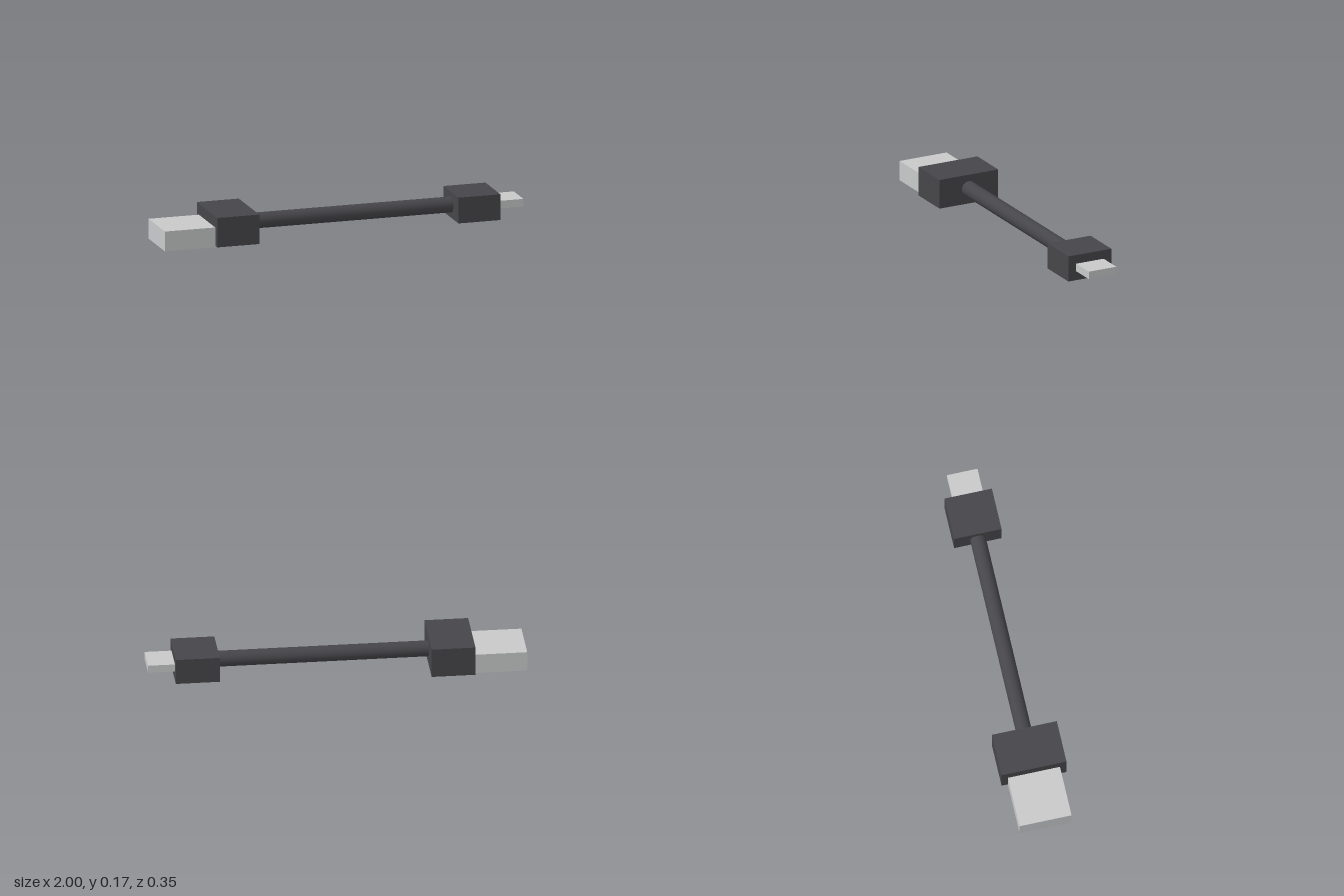
import * as THREE from 'three';

export function createModel() {
  const group = new THREE.Group();
  group.name = 'shortCable';

  const rubber = new THREE.MeshStandardMaterial({ color: 0x46464a });
  rubber.name = 'dark rubber';
  const metal = new THREE.MeshStandardMaterial({ color: 0xc8c9ca });
  metal.name = 'light metal';

  // Box given by its x range, y range and full depth, centred on z = 0
  function block(name, material, x0, x1, y0, y1, depth) {
    const mesh = new THREE.Mesh(new THREE.BoxGeometry(x1 - x0, y1 - y0, depth), material);
    mesh.position.set((x0 + x1) / 2, (y0 + y1) / 2, 0);
    mesh.name = name;
    group.add(mesh);
  }

  // Large plug on the model's right
  block('largeConnector', metal, -1, -0.72, 0, 0.108, 0.28);
  block('largeHousing', rubber, -0.722, -0.49, 0.008, 0.168, 0.35);

  // Small plug on the model's left
  block('smallHousing', rubber, 0.626, 0.858, 0.018, 0.158, 0.256);
  block('smallConnector', metal, 0.857, 1, 0.068, 0.11, 0.164);

  // Straight round cable between the housings
  const cable = new THREE.Mesh(new THREE.CylinderGeometry(0.042, 0.042, 1.126, 32), rubber);
  cable.rotation.z = Math.PI / 2;
  cable.position.set(0.068, 0.09, 0);
  cable.name = 'cable';
  group.add(cable);

  return group;
}
